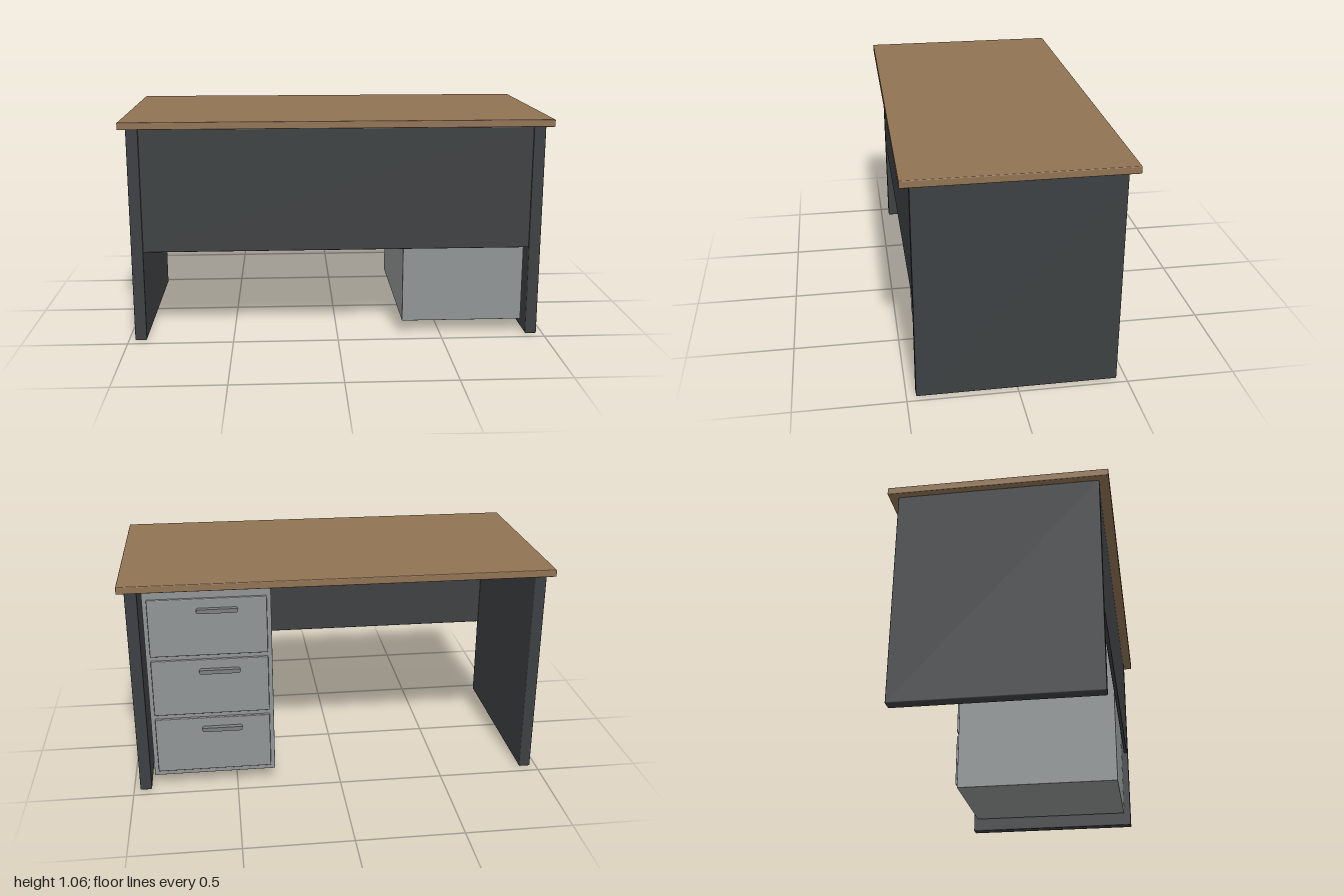
import * as THREE from 'three';
import { RoundedBoxGeometry } from 'three/addons/geometries/RoundedBoxGeometry.js';

const wood = new THREE.MeshStandardMaterial({ color: 0x917353 });
const charcoal = new THREE.MeshStandardMaterial({ color: 0x3d4042 });
const grey = new THREE.MeshStandardMaterial({ color: 0x919595 });
const handleGrey = new THREE.MeshStandardMaterial({ color: 0x7c7f80 });

// Softly edged board spanning the given x, y and z ranges
function board(name, material, [x0, x1], [y0, y1], [z0, z1], radius = 0.004) {
  const geometry = new RoundedBoxGeometry(x1 - x0, y1 - y0, z1 - z0, 2, radius);
  const mesh = new THREE.Mesh(geometry, material);
  mesh.name = name;
  mesh.position.set((x0 + x1) / 2, (y0 + y1) / 2, (z0 + z1) / 2);
  return mesh;
}

// Round-ended pull bar lying along x
function pullGeometry(length, height, depth) {
  const r = height / 2, h = length / 2 - r;
  const shape = new THREE.Shape();
  shape.absarc(h, 0, r, -Math.PI / 2, Math.PI / 2);
  shape.absarc(-h, 0, r, Math.PI / 2, Math.PI * 1.5);
  shape.closePath();
  return new THREE.ExtrudeGeometry(shape, { depth, bevelEnabled: false, curveSegments: 8 });
}

export function createModel() {
  const desk = new THREE.Group();
  desk.name = 'desk';

  // Top and the two full-depth side panels
  desk.add(board('desktop', wood, [-1, 1], [1.022, 1.056], [-0.5, 0.5]));
  desk.add(board('leftSidePanel', charcoal, [0.915, 0.97], [0, 1.022], [-0.457, 0.457], 0.006));
  desk.add(board('rightSidePanel', charcoal, [-0.97, -0.915], [0, 1.022], [-0.457, 0.457], 0.006));

  // Modesty panel across the front
  desk.add(board('modestyPanel', charcoal, [-0.915, 0.915], [0.435, 1.018], [0.435, 0.453]));

  // Drawer cabinet, opening towards the back
  const cabinet = new THREE.Group();
  cabinet.name = 'drawerCabinet';
  cabinet.add(board('cabinetBody', grey, [0.315, 0.897], [0.064, 1.022], [-0.432, 0.422], 0.002));

  const pull = pullGeometry(0.19, 0.02, 0.026);
  for (let i = 0; i < 3; i++) {
    const y = 0.09 + i * 0.3;
    const drawer = new THREE.Group();
    drawer.name = 'drawer' + (i + 1);
    drawer.add(board('drawerFront', grey, [0.335, 0.877], [y, y + 0.277], [-0.446, -0.425]));
    const handle = new THREE.Mesh(pull, handleGrey);
    handle.name = 'drawerHandle';
    handle.position.set(0.562, y + 0.223, -0.47);
    drawer.add(handle);
    cabinet.add(drawer);
  }
  desk.add(cabinet);
  return desk;
}
